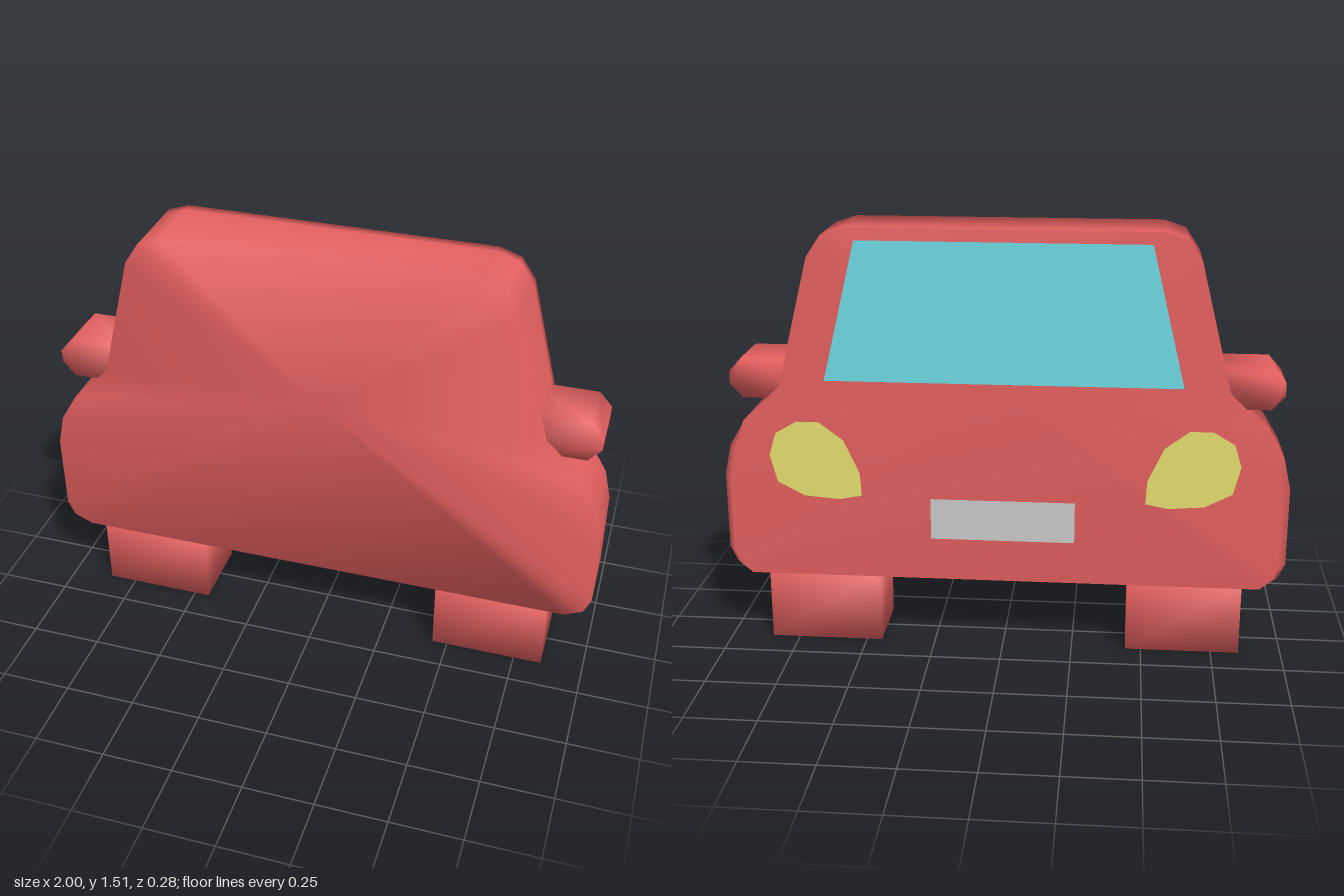
import * as THREE from 'three';
import { mergeVertices } from 'three/addons/utils/BufferGeometryUtils.js';

const material = (color) => new THREE.MeshStandardMaterial({ color, side: THREE.DoubleSide });

// Shares vertices across all edges, so the low-poly form shades softly.
function soften(geometry) {
  geometry.deleteAttribute('normal');
  geometry.deleteAttribute('uv');
  const merged = mergeVertices(geometry, 1e-4);
  merged.computeVertexNormals();
  return merged;
}

const mirrored = (points) => points.map(([x, y]) => [-x, y]).reverse();
const shapeOf = (points) => new THREE.Shape(points.map(([x, y]) => new THREE.Vector2(x, y)));

// Joins cross-section rings (counter-clockwise from +z, running towards -z) and caps both ends with fans.
function loft(rings, capY) {
  const n = rings[0].points.length;
  const position = [], index = [];
  for (const { z, points } of rings) for (const [x, y] of points) position.push(x, y, z);
  const front = position.length / 3, back = front + 1;
  position.push(0, capY, rings[0].z, 0, capY, rings.at(-1).z);
  const last = (rings.length - 1) * n;
  for (let i = 0; i < n; i++) {
    const j = (i + 1) % n;
    for (let r = 0; r < last; r += n) {
      index.push(r + i, r + n + i, r + j, r + j, r + n + i, r + n + j);
    }
    index.push(front, i, j, back, last + j, last + i);
  }
  const geometry = new THREE.BufferGeometry();
  geometry.setAttribute('position', new THREE.Float32BufferAttribute(position, 3));
  geometry.setIndex(index);
  geometry.computeVertexNormals();
  return geometry;
}

export function createModel() {
  const model = new THREE.Group();
  const red = material(0xe66060);
  const glass = material(0x6fdbe6);
  const yellow = material(0xe6e06f);
  const grey = material(0xcccccc);

  const add = (name, geometry, mat) => {
    const mesh = new THREE.Mesh(geometry, mat);
    mesh.name = name;
    model.add(mesh);
    return mesh;
  };

  // Body: car outline with a small chamfer on the sides of the decorated face
  const half = [
    [0.91, 0.255], [0.975, 0.285], [1, 0.34], [1, 0.62], [0.975, 0.73], [0.915, 0.83],
    [0.78, 0.96], [0.665, 1.415], [0.615, 1.49], [0.54, 1.515],
  ];
  const outline = [...half, ...mirrored(half)];
  const trimmed = outline.map(([x, y]) => [Math.abs(x) > 0.95 ? x * 0.97 : x, y]);
  add('body', loft([
    { z: 0.14, points: outline },
    { z: -0.1, points: outline },
    { z: -0.137, points: trimmed },
  ], 0.97), red);

  // Flat details on the decorated face
  const addPanel = (name, points, mat) => {
    add(name, new THREE.ShapeGeometry(shapeOf(points)).rotateY(Math.PI), mat).position.z = -0.14;
  };
  addPanel('windshield', [[-0.62, 0.985], [0.62, 0.985], [0.5, 1.475], [-0.5, 1.475]], glass);
  addPanel('plate', [[-0.255, 0.41], [0.255, 0.41], [0.255, 0.56], [-0.255, 0.56]], grey);

  const lamp = [
    [0.5, 0.565], [0.58, 0.55], [0.705, 0.56], [0.8, 0.61], [0.825, 0.71],
    [0.8, 0.79], [0.725, 0.834], [0.645, 0.834], [0.56, 0.77], [0.505, 0.65],
  ];
  const mirrorOutline = [
    [0.7, 0.905], [0.92, 0.905], [0.965, 0.955], [0.965, 1.0], [0.92, 1.05], [0.7, 1.05],
  ];

  // Paired parts
  for (const side of [1, -1]) {
    const label = side > 0 ? 'left' : 'right';
    const points = (list) => (side > 0 ? list : mirrored(list));

    addPanel(label + 'Headlight', points(lamp), yellow);

    const housing = new THREE.ExtrudeGeometry(shapeOf(points(mirrorOutline)), { depth: 0.2, bevelEnabled: false });
    add(label + 'Mirror', soften(housing.translate(0, 0, -0.096)), red);

    const wheel = new THREE.BoxGeometry(0.405, 0.256, 0.264);
    add(label + 'Wheel', soften(wheel), red).position.set(0.6475 * side, 0.128, 0.005);
  }
  return model;
}
